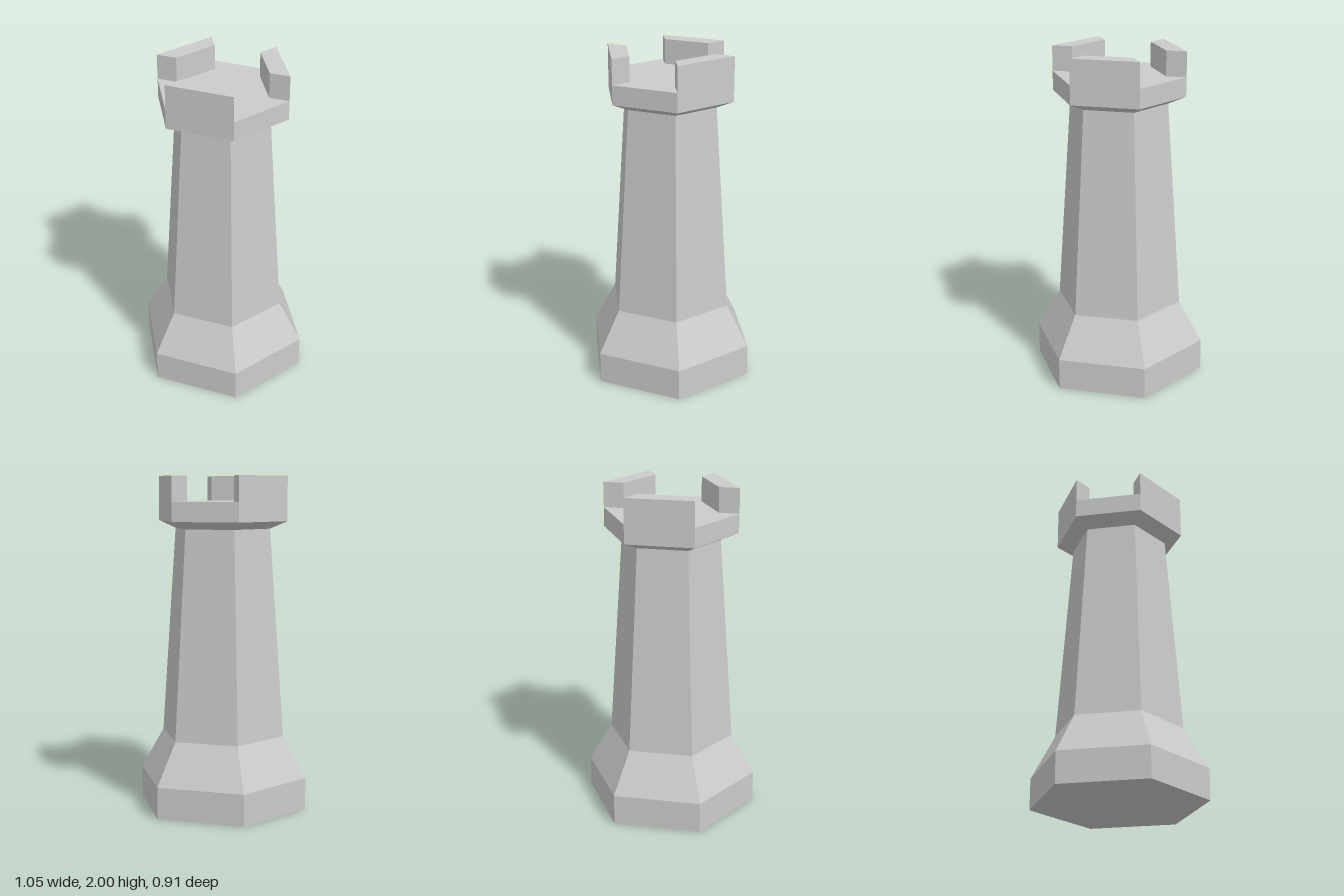
import * as THREE from 'three';

const FLOOR_Y = 1.85;
const TOP_Y = 2;
const OUTER = 0.4;
const INNER = 0.28;

const material = new THREE.MeshStandardMaterial({ color: 0xcccccc, flatShading: true });

// Six-sided solid of revolution with corners on the x axis
function hexTurned(name, profile) {
  const points = profile.map(([r, y]) => new THREE.Vector2(r, y));
  const geometry = new THREE.LatheGeometry(points, 6, Math.PI / 2).toNonIndexed();
  geometry.computeVertexNormals();
  const mesh = new THREE.Mesh(geometry, material);
  mesh.name = name;
  return mesh;
}

// Mitred wall block filling one side of the hexagonal parapet
function merlonGeometry() {
  const k = Math.sqrt(3) / 2;
  const shape = new THREE.Shape([
    new THREE.Vector2(-OUTER / 2, -OUTER * k),
    new THREE.Vector2(OUTER / 2, -OUTER * k),
    new THREE.Vector2(INNER / 2, -INNER * k),
    new THREE.Vector2(-INNER / 2, -INNER * k),
  ]);
  const geometry = new THREE.ExtrudeGeometry(shape, { depth: TOP_Y - FLOOR_Y, bevelEnabled: false });
  return geometry.rotateX(-Math.PI / 2).translate(0, FLOOR_Y, 0);
}

export function createModel() {
  const model = new THREE.Group();
  model.name = 'rookTower';

  // Plinth, sloped shoulder, tapering shaft and flared platform in one profile
  model.add(hexTurned('towerBody', [
    [0, 0],
    [0.525, 0],
    [0.525, 0.19],
    [0.383, 0.44],
    [0.295, 1.69],
    [OUTER, 1.735],
    [OUTER, FLOOR_Y],
    [0, FLOOR_Y],
  ]));

  // Merlons on every other side, starting at the front
  const merlon = merlonGeometry();
  ['frontMerlon', 'backLeftMerlon', 'backRightMerlon'].forEach((name, i) => {
    const mesh = new THREE.Mesh(merlon, material);
    mesh.name = name;
    mesh.rotation.y = (i * 2 * Math.PI) / 3;
    model.add(mesh);
  });

  return model;
}
